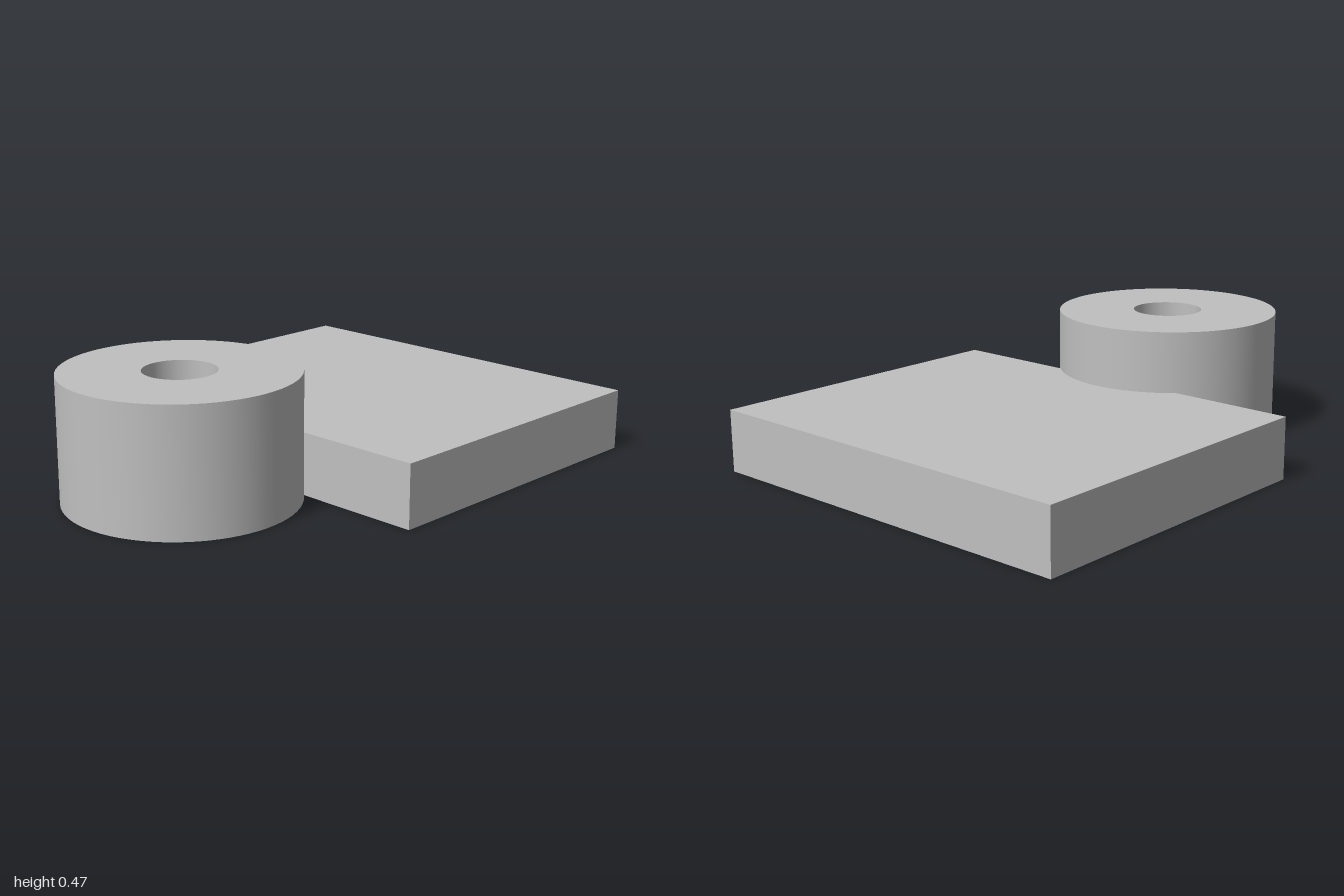
import * as THREE from 'three';

const PLATE = { halfWidth: 0.783, back: -1, front: 0.25, height: 0.235 };
const BOSS = { z: 0.568, radius: 0.432, bore: 0.135, height: 0.47 };

export function createModel() {
  const model = new THREE.Group();
  const grey = new THREE.MeshStandardMaterial({ color: 0xc0c0c0 });
  grey.name = 'plain grey';

  // Flat plate, notched at the front so it fits round the boss
  const { halfWidth: w, back, front } = PLATE;
  const angle = Math.asin((BOSS.z - front) / BOSS.radius);
  const outline = new THREE.Shape();
  outline.moveTo(-w, -back);
  outline.lineTo(-w, -front);
  outline.absarc(0, -BOSS.z, BOSS.radius, Math.PI - angle, angle, true);
  outline.lineTo(w, -front);
  outline.lineTo(w, -back);
  outline.closePath();
  const plateGeometry = new THREE.ExtrudeGeometry(outline, {
    depth: PLATE.height, bevelEnabled: false, curveSegments: 24,
  });
  plateGeometry.rotateX(-Math.PI / 2);
  const plate = new THREE.Mesh(plateGeometry, grey);
  plate.name = 'plate';
  model.add(plate);

  // Round boss with a through bore; doubled corners keep the rims sharp
  const { radius: R, bore: r, height: h } = BOSS;
  const profile = [[R, 0], [R, h], [R, h], [r, h], [r, h], [r, 0], [r, 0], [R, 0]]
    .map(([x, y]) => new THREE.Vector2(x, y));
  const boss = new THREE.Mesh(new THREE.LatheGeometry(profile, 72), grey);
  boss.name = 'boss';
  boss.position.z = BOSS.z;
  model.add(boss);

  return model;
}
